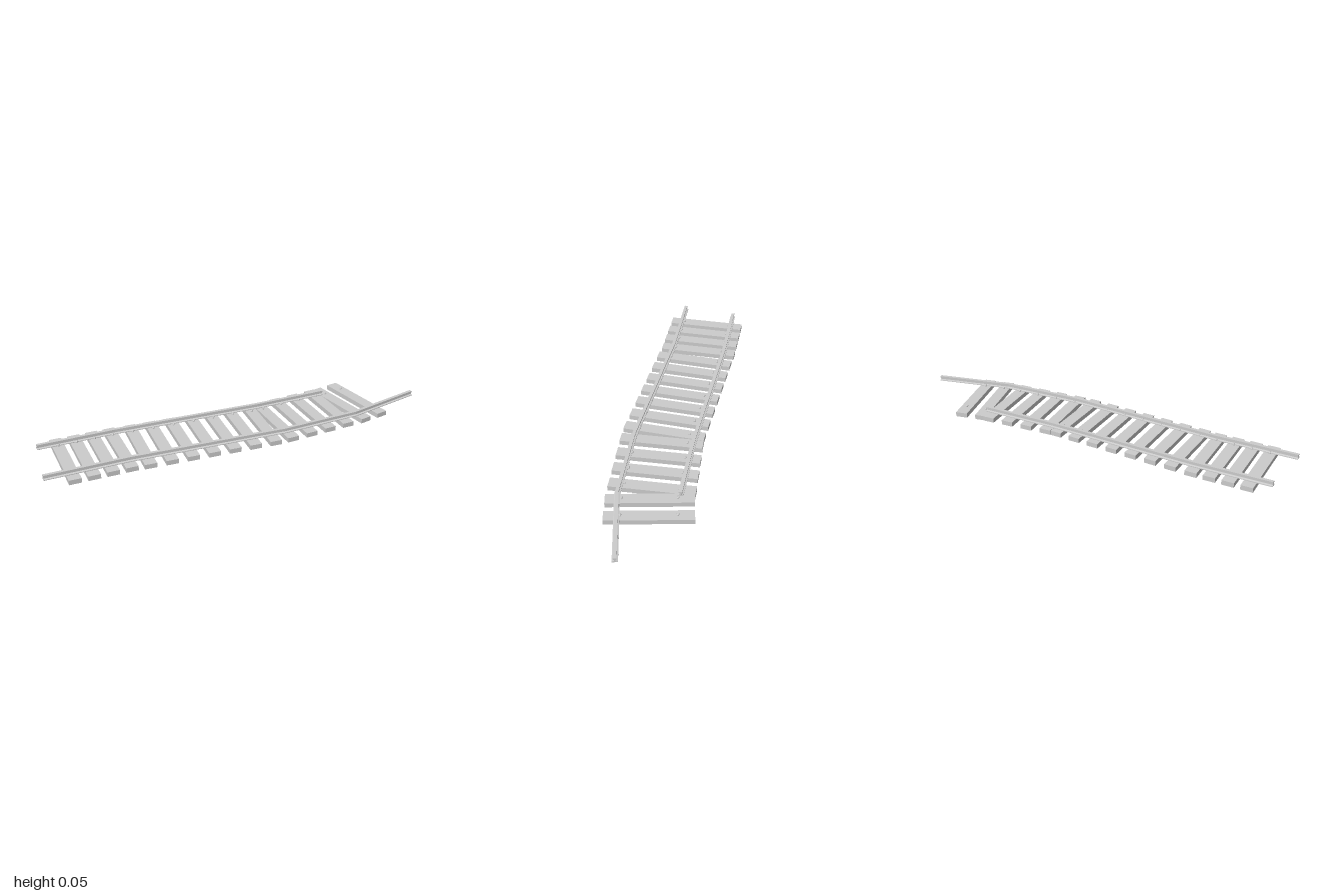
import * as THREE from 'three';

const mat = new THREE.MeshStandardMaterial({ color: 0xcccccc, flatShading: true });

// I-shaped rail section: half outline mirrored about the vertical axis
function railShape() {
  const half = [[0.015, 0.029], [0.015, 0.033], [0.004, 0.036], [0.004, 0.045], [0.009, 0.047], [0.009, 0.055]];
  const mirrored = half.map(([u, v]) => [-u, v]).reverse();
  return new THREE.Shape([...half, ...mirrored].map(([u, v]) => new THREE.Vector2(u, v)));
}

// Sweeps the section along a ground path [x, z] with mitred joints
function makeRail(name, path) {
  const pts = path.map(([x, z]) => new THREE.Vector2(x, z));
  const n = pts.length - 1;
  const dir = (i) => pts[i + 1].clone().sub(pts[i]).normalize();
  const frames = pts.map((p, i) => {
    const a = dir(Math.max(i - 1, 0)), b = dir(Math.min(i, n - 1));
    const f = a.clone().add(b).normalize();
    const stretch = 1 / f.dot(b);
    return { p, sx: f.y * stretch, sz: -f.x * stretch };
  });
  const geo = new THREE.ExtrudeGeometry(railShape(), { depth: n, steps: n, bevelEnabled: false });
  const pos = geo.attributes.position;
  for (let i = 0; i < pos.count; i++) {
    const u = pos.getX(i), { p, sx, sz } = frames[Math.round(pos.getZ(i))];
    pos.setXYZ(i, p.x + sx * u, pos.getY(i), p.y + sz * u);
  }
  geo.computeVertexNormals();
  const rail = new THREE.Mesh(geo, mat);
  rail.name = name;
  return rail;
}

const sleeperGeo = new THREE.BoxGeometry(0.452, 0.027, 0.068);
const spikeGeo = new THREE.CylinderGeometry(0.006, 0.006, 0.036, 8);
const headGeo = new THREE.CylinderGeometry(0.005, 0.008, 0.005, 8);

// One sleeper with a spike inside each rail
function makeSleeper(x, z, degrees) {
  const group = new THREE.Group();
  group.name = 'sleeper';
  const add = (name, geo, px, py) => {
    const mesh = new THREE.Mesh(geo, mat);
    mesh.name = name;
    mesh.position.set(px, py, 0);
    group.add(mesh);
  };
  add('sleeperBeam', sleeperGeo, 0, 0.0155);
  for (const side of [-1, 1]) {
    add('spike', spikeGeo, side * 0.142, 0.018);
    add('spikeHead', headGeo, side * 0.142, 0.0375);
  }
  group.position.set(x, 0, z);
  group.rotation.y = -THREE.MathUtils.degToRad(degrees);
  return group;
}

export function createModel() {
  const model = new THREE.Group();
  model.name = 'railwayTrack';

  // Rails bend in straight sections; the left one runs on further
  model.add(makeRail('leftRail', [[-0.43, 0.99], [-0.19, 0.585], [0.31, -0.155], [0.535, -0.565], [0.68, -0.995]]));
  model.add(makeRail('rightRail', [[-0.683, 0.793], [-0.457, 0.413], [0.02, -0.31], [0.24, -0.685]]));

  // Sleeper runs: first centre, last centre, count, angle
  const runs = [
    [[-0.489, 0.775], [-0.33, 0.513], 4, 31.5],
    [[-0.266, 0.423], [0.139, -0.168], 7, 34],
    [[0.183, -0.244], [0.35, -0.569], 4, 29],
    [[0.39, -0.648], [0.433, -0.761], 2, 19.8],
  ];
  for (const [a, b, count, angle] of runs) {
    for (let i = 0; i < count; i++) {
      const t = i / (count - 1);
      model.add(makeSleeper(a[0] + (b[0] - a[0]) * t, a[1] + (b[1] - a[1]) * t, angle));
    }
  }
  return model;
}
